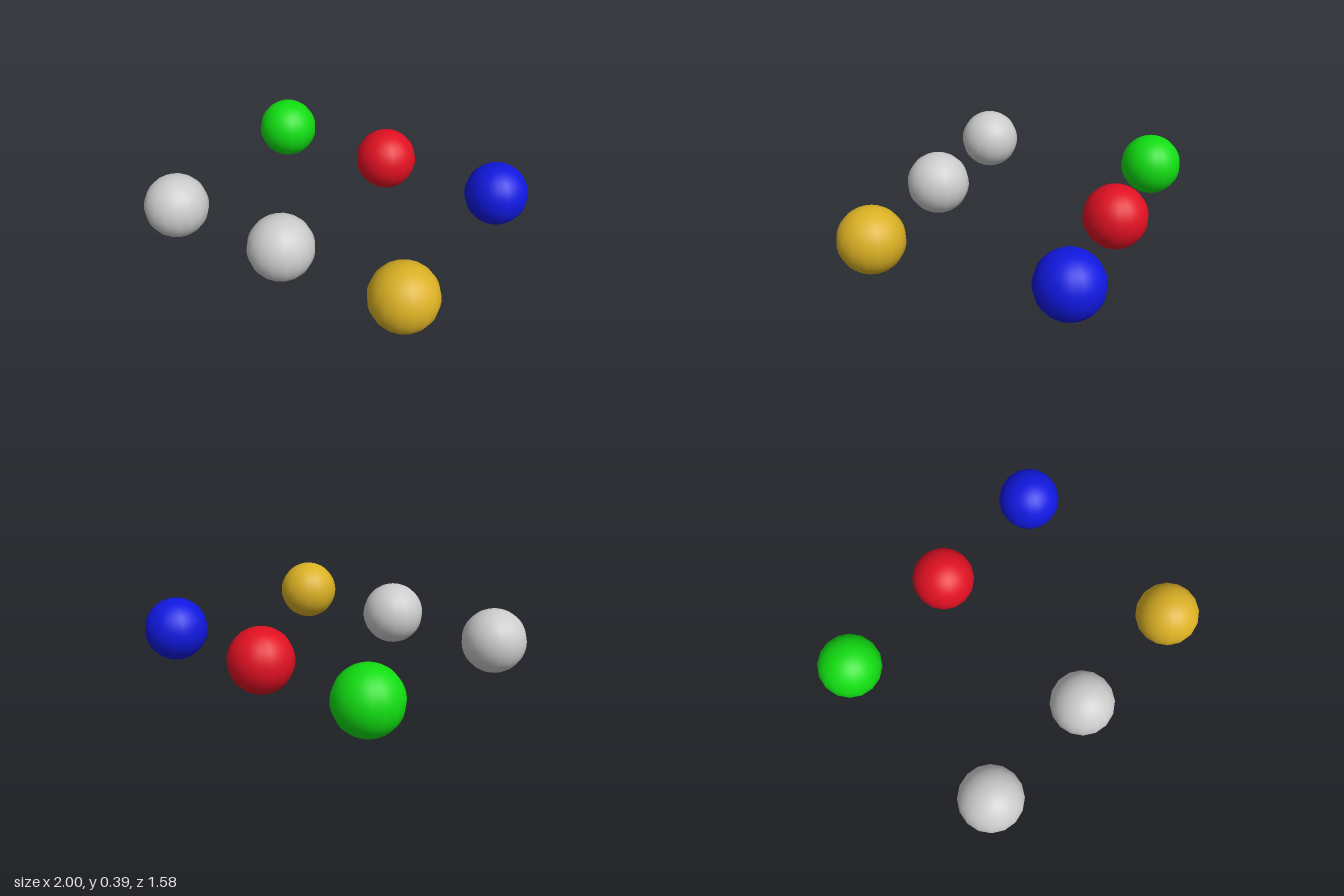
import * as THREE from 'three';

// Six balls laid out in two rows of three
export function createModel() {
  const group = new THREE.Group();
  const radius = 0.197;
  const geometry = new THREE.SphereGeometry(radius, 16, 32);

  // name, x, z, color
  const balls = [
    ['greenBall', -0.803, -0.595, 0x11dd11],
    ['redBall', 0.005, -0.595, 0xe01022],
    ['blueBall', 0.803, -0.595, 0x1018e0],
    ['greyBallRight', -0.787, 0.595, 0xcccccc],
    ['greyBallMiddle', 0.005, 0.595, 0xcccccc],
    ['goldBall', 0.803, 0.595, 0xdab024],
  ];

  for (const [name, x, z, color] of balls) {
    const ball = new THREE.Mesh(geometry, new THREE.MeshStandardMaterial({ color }));
    ball.name = name;
    ball.position.set(x, radius, z);
    group.add(ball);
  }
  return group;
}
